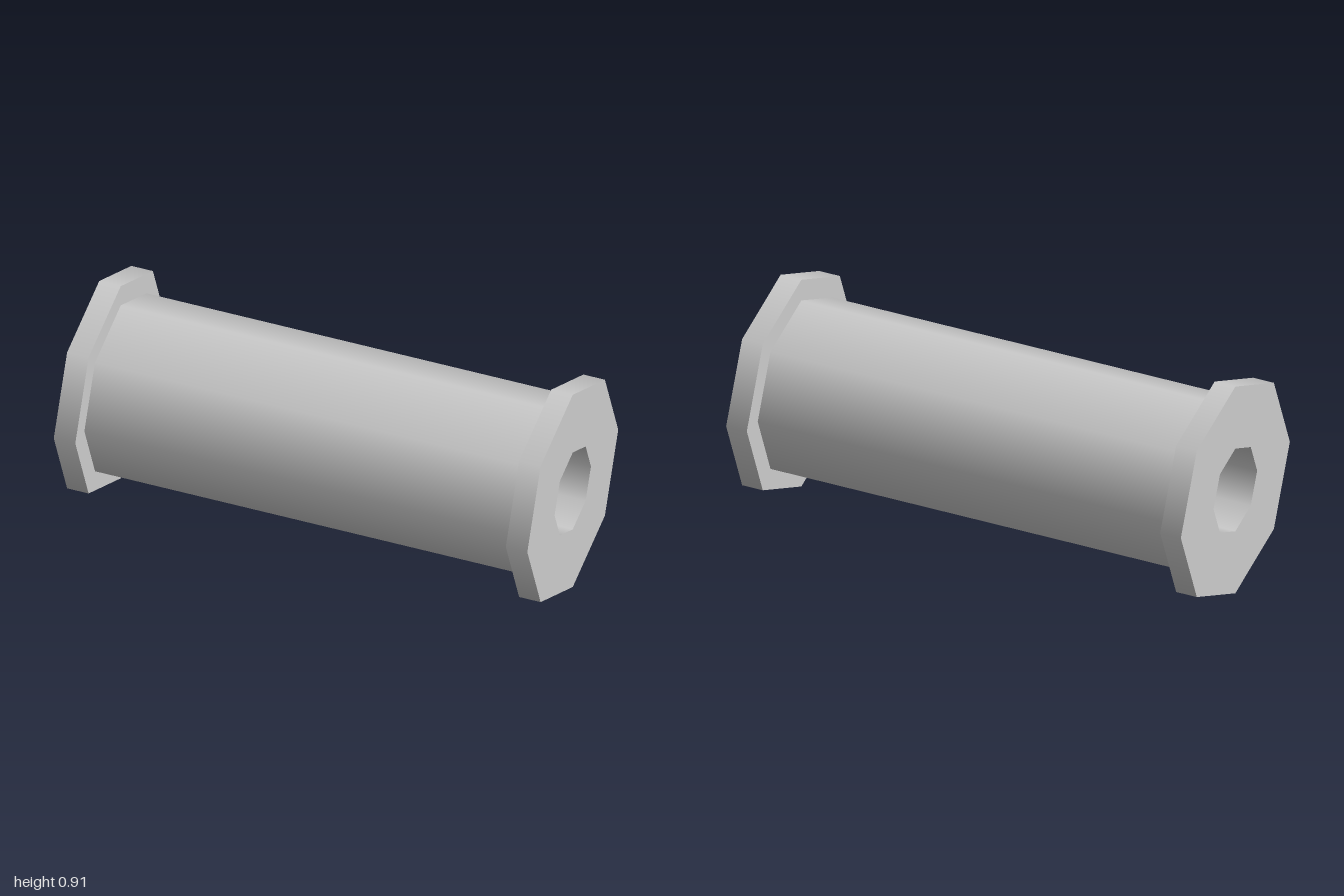
import * as THREE from 'three';
import { mergeGeometries } from 'three/addons/utils/BufferGeometryUtils.js';

const SIDES = 8;
const FLANGE_R = 0.4545, BARREL_R = 0.3636, BORE_R = 0.1818;
const HALF = 1, THICK = 0.0909;

// Revolves each profile segment [radius, x] separately: smooth round the axis, sharp at profile corners
function revolve(name, profile, material) {
  const strips = [];
  for (let i = 0; i < profile.length - 1; i++) {
    const ends = [profile[i], profile[i + 1]].map(([r, x]) => new THREE.Vector2(r, x));
    strips.push(new THREE.LatheGeometry(ends, SIDES));
  }
  const geometry = mergeGeometries(strips);
  geometry.rotateZ(-Math.PI / 2); // lay the axis along x
  const mesh = new THREE.Mesh(geometry, material);
  mesh.name = name;
  return mesh;
}

export function createModel() {
  const group = new THREE.Group();
  group.name = 'spool';
  const material = new THREE.MeshStandardMaterial({ color: 0xcccccc });
  const inner = HALF - THICK;

  // Barrel between the flanges
  group.add(revolve('barrel', [[BARREL_R, -inner], [BARREL_R, inner]], material));

  // Through hole, facing the axis
  group.add(revolve('bore', [[BORE_R, HALF], [BORE_R, -HALF]], material));

  // End flanges: inner shoulder, rim and outer face
  const rightFlange = [[BORE_R, -HALF], [FLANGE_R, -HALF], [FLANGE_R, -inner], [BARREL_R, -inner]];
  const leftFlange = rightFlange.map(([r, x]) => [r, -x]).reverse();
  group.add(revolve('rightFlange', rightFlange, material));
  group.add(revolve('leftFlange', leftFlange, material));

  group.children.forEach((part) => { part.position.y = FLANGE_R; });
  return group;
}
